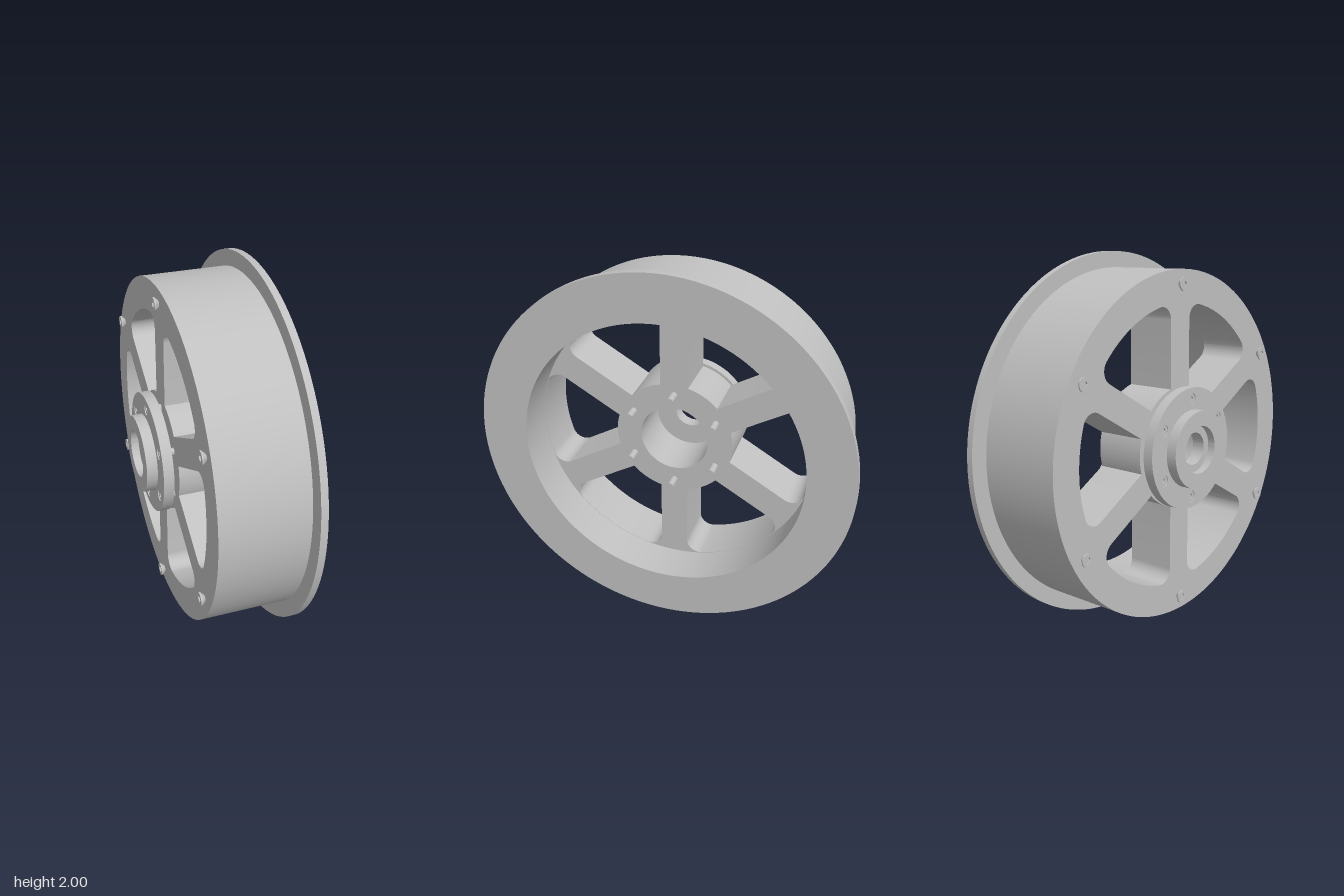
import * as THREE from 'three';
import { toCreasedNormals } from 'three/addons/utils/BufferGeometryUtils.js';

const metal = new THREE.MeshStandardMaterial({ color: 0xc0c0c0 });
metal.name = 'grey metal';

const SPOKES = 6;
const BOLT_R = 0.26;   // hub bolt circle
const RIM_BOLT_R = 0.84;

// All parts are made around the local z axis; the wheel is turned onto x at the end.
function add(parent, name, geometry) {
  const mesh = new THREE.Mesh(toCreasedNormals(geometry, 0.5), metal);
  mesh.name = name;
  parent.add(mesh);
  return mesh;
}

// Closed ring turned from a profile of [radius, axial] points
function turned(profile, segments = 128) {
  const pts = profile.map(([r, a]) => new THREE.Vector2(r, a));
  pts.push(pts[0].clone());
  return new THREE.LatheGeometry(pts, segments).rotateX(Math.PI / 2);
}

function extruded(shape, z0, z1, curveSegments = 24) {
  return new THREE.ExtrudeGeometry(shape, { depth: z1 - z0, bevelEnabled: false, curveSegments }).translate(0, 0, z0);
}

function circle(r, x = 0, y = 0, PathType = THREE.Path) {
  const p = new PathType();
  p.absarc(x, y, r, 0, Math.PI * 2, false);
  return p;
}

function around(radius, fn) {
  for (let i = 0; i < SPOKES; i++) {
    const a = Math.PI / 2 + (i * Math.PI * 2) / SPOKES;
    fn(Math.cos(a) * radius, Math.sin(a) * radius, a);
  }
}

// Opening between two spokes, with rounded outer corners
function spokeWindow(start) {
  const step = (Math.PI * 2) / SPOKES, end = start + step;
  const half = 0.075, fillet = 0.07, outer = 0.748, inner = 0.32;
  const centreR = outer - fillet;
  const lean = Math.asin((half + fillet) / centreR);
  const hubLean = Math.asin(half / inner);
  const p = new THREE.Path();
  p.moveTo(inner * Math.cos(start + hubLean), inner * Math.sin(start + hubLean));
  const a = start + lean, b = end - lean;
  p.absarc(centreR * Math.cos(a), centreR * Math.sin(a), fillet, start - Math.PI / 2, a, false);
  p.absarc(0, 0, outer, a, b, false);
  p.absarc(centreR * Math.cos(b), centreR * Math.sin(b), fillet, b, end + Math.PI / 2, false);
  p.absarc(0, 0, inner, end - hubLean, start + hubLean, true);
  return p;
}

// Countersunk screw with a hexagonal socket; head faces -z
function screw(parent, name, x, y, headZ, tipZ, headR, shaftR) {
  const g = new THREE.Group();
  g.name = name;
  g.position.set(x, y, 0);
  const lip = 0.008, coneEnd = headZ + 0.028;
  const face = circle(headR, 0, 0, THREE.Shape);
  const hex = new THREE.Path();
  for (let i = 0; i < 6; i++) {
    const a = (i * Math.PI) / 3, px = Math.cos(a) * headR * 0.5, py = Math.sin(a) * headR * 0.5;
    if (i) hex.lineTo(px, py); else hex.moveTo(px, py);
  }
  hex.closePath();
  face.holes.push(hex);
  add(g, 'screwHead', extruded(face, headZ, headZ + lip, 12));
  const cone = new THREE.CylinderGeometry(shaftR, headR, coneEnd - headZ - lip, 24).rotateX(Math.PI / 2);
  add(g, 'screwCone', cone.translate(0, 0, (coneEnd + headZ + lip) / 2));
  const shaft = new THREE.CylinderGeometry(shaftR, shaftR, tipZ - coneEnd, 24).rotateX(Math.PI / 2);
  add(g, 'screwShaft', shaft.translate(0, 0, (tipZ + coneEnd) / 2));
  parent.add(g);
}

export function createModel() {
  const model = new THREE.Group();
  model.name = 'flangedWheel';
  const wheel = new THREE.Group();
  wheel.name = 'wheel';
  wheel.rotation.y = Math.PI / 2;
  wheel.position.y = 1;
  model.add(wheel);

  // Rim drum with the wide flange on one side
  add(wheel, 'rim', turned([
    [0.75, -0.18], [0.915, -0.18], [0.915, 0.278], [1, 0.278], [1, 0.315], [0.75, 0.315],
  ], 160));

  // Six spokes and centre ring cut from one thick plate
  const spider = circle(0.755, 0, 0, THREE.Shape);
  spider.holes.push(circle(0.185));
  around(0, (x, y, a) => spider.holes.push(spokeWindow(a)));
  add(wheel, 'spokes', extruded(spider, -0.18, 0.09, 40));

  // Hub plate with bolt holes
  const plate = circle(0.32, 0, 0, THREE.Shape);
  plate.holes.push(circle(0.085));
  around(BOLT_R, (x, y) => plate.holes.push(circle(0.03, x, y)));
  add(wheel, 'hubPlate', extruded(plate, -0.26, -0.205, 40));

  // Stepped bearing boss
  add(wheel, 'hubBoss', turned([
    [0.085, -0.275], [0.125, -0.275], [0.125, -0.317], [0.205, -0.317], [0.205, -0.258], [0.085, -0.258],
  ], 96));

  // Long hub screws and short rim screws
  around(BOLT_R, (x, y) => screw(wheel, 'hubScrew', x, y, -0.255, 0.165, 0.03, 0.019));
  around(RIM_BOLT_R, (x, y) => screw(wheel, 'rimScrew', x, y, -0.207, -0.13, 0.035, 0.016));

  return model;
}
